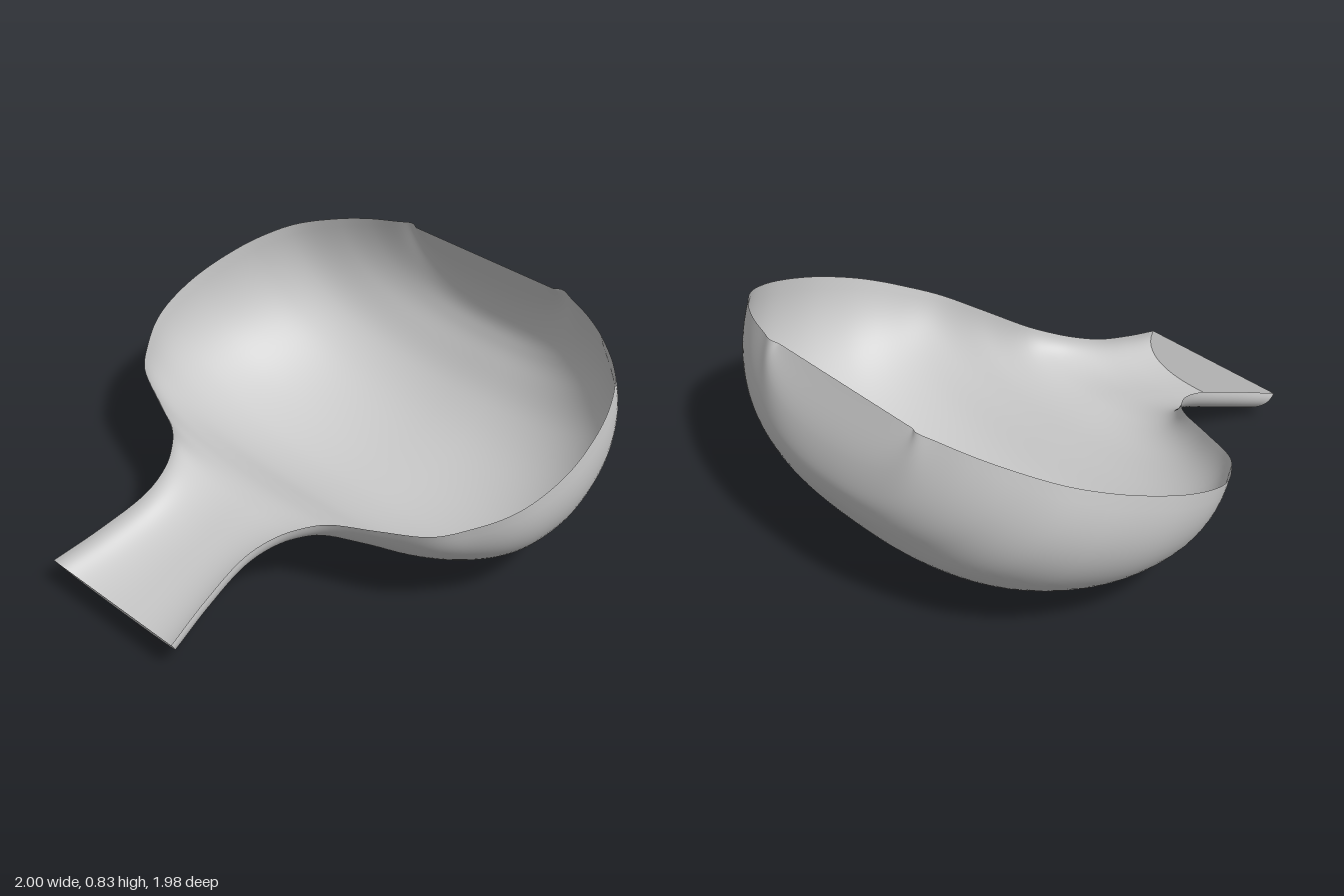
import * as THREE from 'three';

// Stations along the tilted rim plane: position, half width, depth
const stations = [
  [-1.115, 0.36, 0], [-1.127, 0.40, 0.2], [-1.105, 0.46, 0.33], [-1.06, 0.58, 0.405],
  [-0.995, 0.70, 0.467], [-0.88, 0.845, 0.55], [-0.74, 0.93, 0.603], [-0.6, 0.975, 0.622],
  [-0.44, 0.998, 0.612], [-0.28, 0.985, 0.565], [-0.174, 0.95, 0.505], [-0.067, 0.88, 0.418],
  [0.04, 0.78, 0.298], [0.125, 0.6, 0.212], [0.2, 0.43, 0.163], [0.253, 0.37, 0.141],
  [0.339, 0.31, 0.128], [0.467, 0.275, 0.125], [0.68, 0.295, 0.128], [0.885, 0.335, 0.127],
];
const path = new THREE.CatmullRomCurve3(stations.map((s) => new THREE.Vector3(...s)));
const RIM = 0.468;
const TILT_COS = 0.936, TILT_SIN = 0.351;

// Point on the shell: t runs back to front, a runs rim to rim, k scales the depth
function shellPoint(t, a, k = 1) {
  const s = path.getPoint(t);
  const angle = a * Math.PI;
  const c = Math.cos(angle);
  const x = s.y * Math.sign(c) * Math.abs(c) ** 0.8;
  const depth = k * s.z * Math.max(0, Math.sin(angle)) ** 0.83;
  // The end of the handle is cut at a slant
  const u = s.x - 0.24 * depth * THREE.MathUtils.smoothstep(s.x, 0.5, 0.885);
  const v = RIM - depth;
  return new THREE.Vector3(x, TILT_COS * v - TILT_SIN * u, TILT_COS * u + TILT_SIN * v);
}

// Bend a grid into a surface given by a rule
function surface(name, cols, rows, rule, material) {
  const geometry = new THREE.PlaneGeometry(1, 1, cols, rows);
  const { position, uv } = geometry.attributes;
  for (let i = 0; i < position.count; i++) {
    const p = rule(uv.getX(i), uv.getY(i));
    position.setXYZ(i, p.x, p.y, p.z);
  }
  geometry.computeVertexNormals();
  const mesh = new THREE.Mesh(geometry, material);
  mesh.name = name;
  return mesh;
}

export function createModel() {
  const group = new THREE.Group();
  group.name = 'scoop';
  const material = new THREE.MeshStandardMaterial({ color: 0xcccccc, side: THREE.DoubleSide });

  // Open bowl running into the trough-shaped handle
  group.add(surface('bowlAndHandle', 56, 114, (a, b) => shellPoint(1 - b, a), material));
  // Slanted wall closing the end of the handle
  group.add(surface('handleEnd', 56, 1, (a, b) => shellPoint(1, 1 - a, 1 - b), material));
  return group;
}
